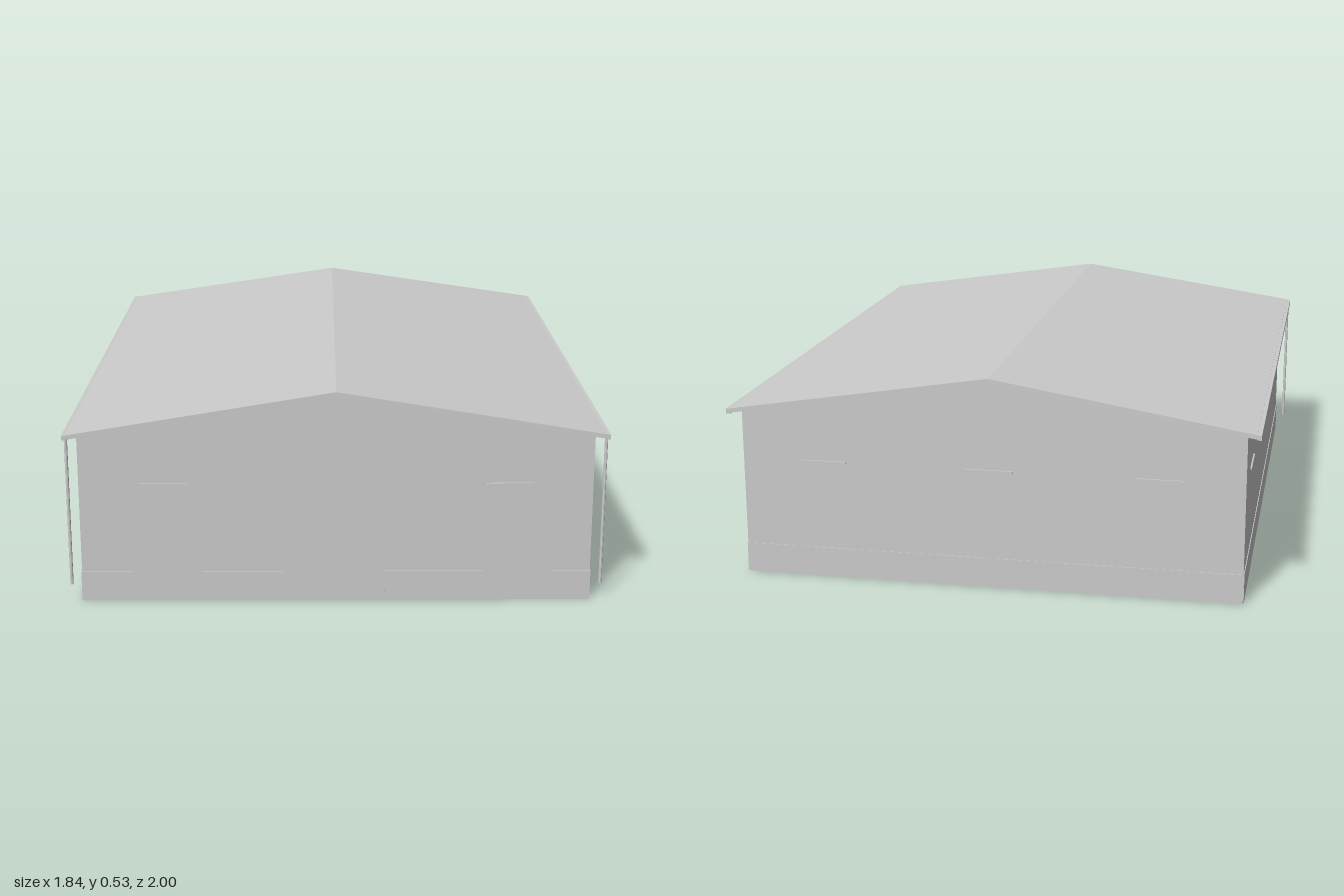
import * as THREE from 'three';

const W = 0.625, L = 0.786;          // half width and half length of the walls
const EAVE = 0.42, APEX = 0.52;      // underside of the roof at the eaves and ridge
const RW = 0.648, RL = 0.807;        // half width and half length of the roof

const grey = (side = THREE.FrontSide) =>
  new THREE.MeshStandardMaterial({ color: 0xcccccc, flatShading: true, side });

export function createModel() {
  const model = new THREE.Group();
  const hall = new THREE.Group();
  hall.name = 'hall';
  hall.rotation.y = -0.4;
  model.add(hall);
  const solid = grey(), sheet = grey(THREE.DoubleSide);

  const add = (name, geometry, x, y, z, turn = 0, material = solid, parent = hall) => {
    const mesh = new THREE.Mesh(geometry, material);
    mesh.name = name;
    mesh.position.set(x, y, z);
    mesh.rotation.y = turn;
    parent.add(mesh);
    return mesh;
  };

  // Four thin walls; each wall group faces outward along its own +z
  const wall = (name, half, depth, turn, peak, slits, bands) => {
    const group = new THREE.Group();
    group.name = name;
    group.rotation.y = turn;
    hall.add(group);
    const pts = [[-half, 0], [half, 0], [half, EAVE + 0.003]];
    if (peak) pts.push([0, APEX]);
    pts.push([-half, EAVE + 0.003]);
    const shape = new THREE.Shape(pts.map(p => new THREE.Vector2(...p)));
    add(name + 'Panel', new THREE.ShapeGeometry(shape), 0, 0, depth, 0, sheet, group);
    // Plinth band along the foot, interrupted at the door
    for (const [a, b] of bands)
      add('plinth', new THREE.BoxGeometry(b - a, 0.075, 0.002), (a + b) / 2, 0.0375, depth + 0.001, 0, solid, group);
    // Narrow slits high on the wall
    for (const x of slits)
      add('ventSlit', new THREE.BoxGeometry(0.12, 0.005, 0.004), x, 0.3, depth + 0.002, 0, solid, group);
  };
  const four = [-0.59, -0.197, 0.197, 0.59];
  wall('frontGable', W, L, 0, true, [-0.42, 0.42], [[-W, -0.13], [0.12, W]]);
  wall('backGable', W, L, Math.PI, true, [-0.42, 0, 0.42], [[-W, W]]);
  wall('leftWall', L, W, Math.PI / 2, false, four, [[-L, L]]);
  wall('rightWall', L, W, -Math.PI / 2, false, four, [[-L, L]]);

  // Flat ceiling at eave height
  const ceiling = new THREE.PlaneGeometry(2 * W, 2 * L);
  ceiling.rotateX(Math.PI / 2);
  add('ceiling', ceiling, 0, EAVE - 0.001, 0, 0, sheet);

  // Roof slab: a chevron whose ends draw in slightly towards the ridge
  const chevron = new THREE.Shape([
    [-RW, EAVE], [0, APEX], [RW, EAVE], [RW, EAVE + 0.011], [0, APEX + 0.011], [-RW, EAVE + 0.011],
  ].map(p => new THREE.Vector2(...p)));
  const roof = new THREE.ExtrudeGeometry(chevron, { depth: 2, bevelEnabled: false });
  const pos = roof.attributes.position;
  for (let i = 0; i < pos.count; i++) {
    const half = L + (RL - L) * Math.abs(pos.getX(i)) / RW;
    pos.setZ(i, (pos.getZ(i) - 1) * half);
  }
  roof.computeVertexNormals();
  add('roof', roof, 0, 0, 0);

  // Gutters on both eaves, each with a downpipe at the front end
  for (const s of [-1, 1]) {
    add('gutter', new THREE.BoxGeometry(0.012, 0.012, 2 * RL), s * (RW + 0.004), EAVE + 0.004, 0);
    add('downpipe', new THREE.CylinderGeometry(0.004, 0.004, 0.375, 8), s * 0.65, 0.2325, 0.792);
  }
  return model;
}
